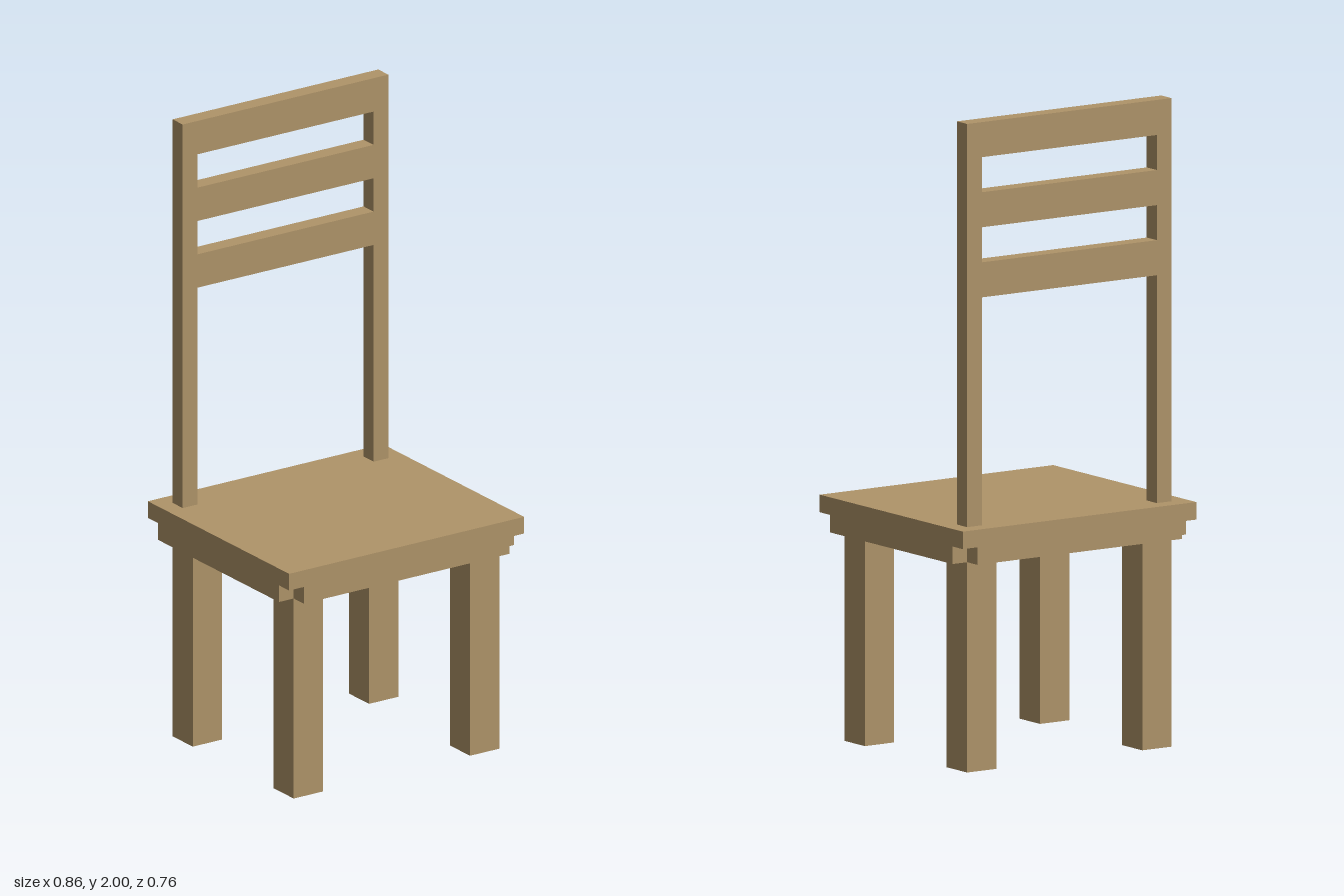
import * as THREE from 'three';

const U = 2 / 37; // one module of the chair's proportions

export function createModel() {
  const wood = new THREE.MeshStandardMaterial({ color: 0xaf9469 });
  wood.name = 'wood';
  const chair = new THREE.Group();
  chair.name = 'chair';

  const add = (name, geometry, x, y, z) => {
    const mesh = new THREE.Mesh(geometry.scale(U, U, U), wood);
    mesh.name = name;
    mesh.position.set(x * U, y * U, z * U);
    chair.add(mesh);
  };
  const shape = (points) => new THREE.Shape(points.map(([x, y]) => new THREE.Vector2(x, y)));
  const extrude = (s, depth) => new THREE.ExtrudeGeometry(s, { depth, bevelEnabled: false });

  // Four square legs
  for (const [side, x] of [['Left', 6], ['Right', -6]]) {
    for (const [end, z] of [['front', 5], ['back', -5]]) {
      add(`${end}${side}Leg`, new THREE.BoxGeometry(2, 12, 2), x, 6, z);
    }
  }

  // Seat: full slab above, lower layer with notched corners
  add('seatTop', new THREE.BoxGeometry(16, 1, 14), 0, 13.5, 0);
  const notched = shape([
    [-7, -7], [7, -7], [7, -6], [8, -6], [8, 6], [7, 6],
    [7, 7], [-7, 7], [-7, 6], [-8, 6], [-8, -6], [-7, -6],
  ]);
  add('seatBase', extrude(notched, 1).rotateX(-Math.PI / 2), 0, 12, 0);

  // Backrest: two posts joined by three rails, cut from one board
  const back = shape([
    [-7, 0], [-6, 0], [-6, 13], [6, 13], [6, 0], [7, 0], [7, 23], [-7, 23],
  ]);
  for (const y of [15, 19]) {
    back.holes.push(shape([[-6, y], [-6, y + 2], [6, y + 2], [6, y]]));
  }
  add('backrest', extrude(back, 1), 0, 14, -6);

  return chair;
}
